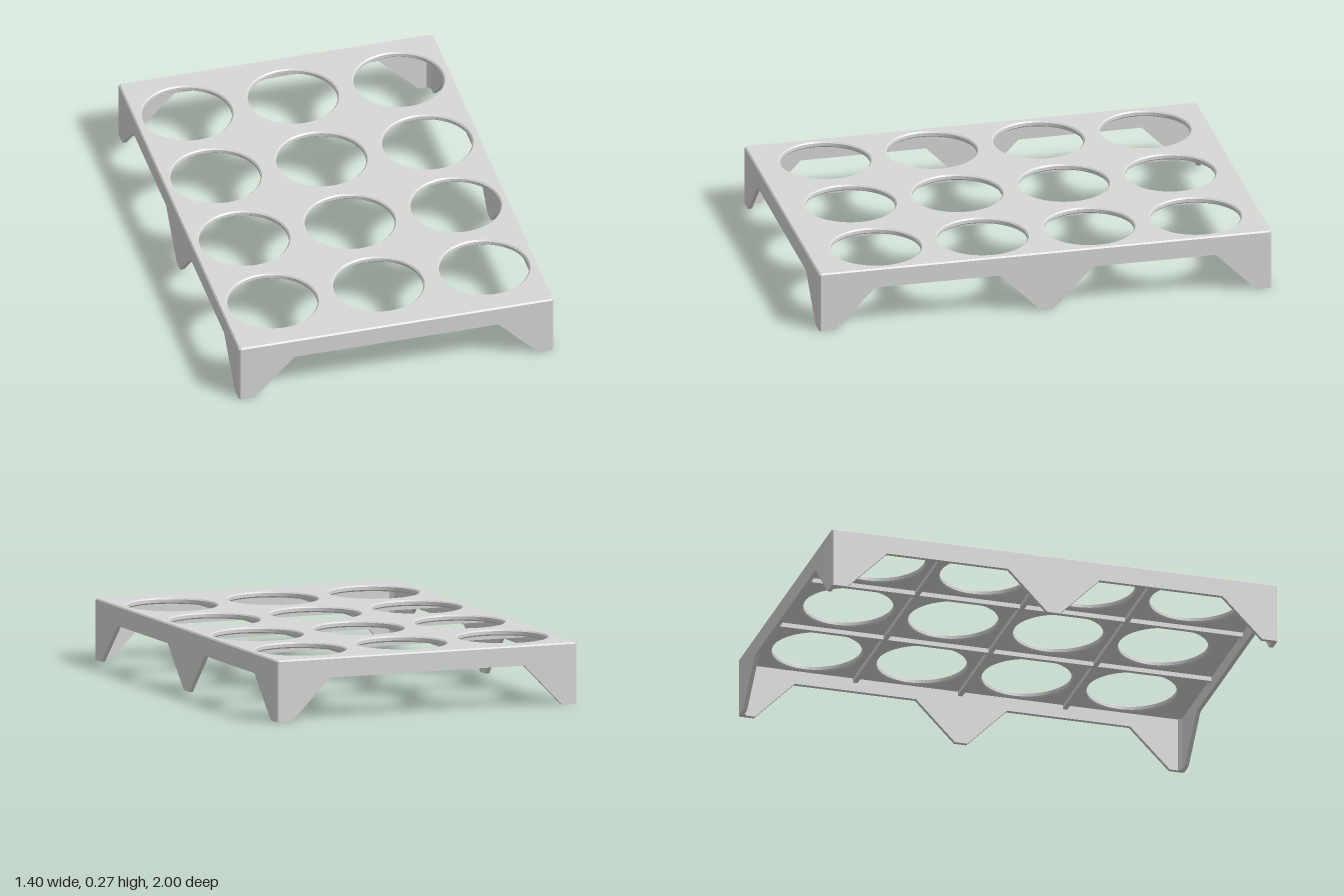
import * as THREE from 'three';
import { toCreasedNormals } from 'three/addons/utils/BufferGeometryUtils.js';

const W = 0.7, D = 0.999, TOP = 0.267;     // half width, half depth, height
const WALL = 0.018, BEVEL = 0.006, CHAMFER = 0.007;
const PLATE = 0.026, RAIL = 0.18;          // plate thickness, underside of the rails
const RIB = 0.02, RIB_DROP = 0.02;         // rib width, rib depth below the plate
const PITCH = 0.4705, HOLE = 0.2, ROW_SHIFT = -0.01;

const polygon = (points) => new THREE.Shape(points.map(([x, y]) => new THREE.Vector2(x, y)));

export function createModel() {
  const model = new THREE.Group();
  model.name = 'twelveHoleRack';
  const grey = new THREE.MeshStandardMaterial({ color: 0xd8d8d8 });
  grey.name = 'light grey plastic';

  const add = (name, geometry, x = 0, y = 0, z = 0) => {
    const mesh = new THREE.Mesh(geometry, grey);
    mesh.name = name;
    mesh.position.set(x, y, z);
    model.add(mesh);
  };

  // Perforated top plate with bevelled rim and holes
  const w = W - BEVEL, d = D - BEVEL, c = CHAMFER;
  const plate = polygon([
    [-w + c, -d], [w - c, -d], [w, -d + c], [w, d - c],
    [w - c, d], [-w + c, d], [-w, d - c], [-w, -d + c],
  ]);
  for (let col = -1; col <= 1; col++) {
    for (let row = 0; row < 4; row++) {
      const hole = new THREE.Path();
      hole.absarc(col * PITCH, -(ROW_SHIFT + (row - 1.5) * PITCH), HOLE, 0, Math.PI * 2, true);
      plate.holes.push(hole);
    }
  }
  const plateGeometry = new THREE.ExtrudeGeometry(plate, {
    depth: PLATE - 2 * BEVEL, bevelEnabled: true, bevelSize: BEVEL,
    bevelThickness: BEVEL, bevelSegments: 1, curveSegments: 32,
  });
  plateGeometry.rotateX(-Math.PI / 2);
  add('topPlate', toCreasedNormals(plateGeometry, 0.4), 0, TOP - PLATE + BEVEL, 0);

  // Skirt walls whose lower edge is cut into tapered feet
  const wallTop = TOP - BEVEL;
  const wall = (points) => new THREE.ExtrudeGeometry(polygon(points), { depth: WALL, bevelEnabled: false });
  const ex = W - CHAMFER, ez = D - CHAMFER;
  const endWall = wall([
    [-ex, 0], [-0.63, 0], [-0.453, RAIL], [0.453, RAIL], [0.63, 0], [ex, 0],
    [ex, wallTop], [-ex, wallTop],
  ]);
  const sideWall = wall([
    [-ez, 0], [-0.93, 0], [-0.752, RAIL], [-0.208, RAIL], [-0.033, 0], [0.023, 0],
    [0.2, RAIL], [0.752, RAIL], [0.93, 0], [ez, 0], [ez, wallTop], [-ez, wallTop],
  ]);
  sideWall.rotateY(-Math.PI / 2);
  add('frontWall', endWall, 0, 0, D - WALL);
  add('backWall', endWall, 0, 0, -D);
  add('leftWall', sideWall, W, 0, 0);
  add('rightWall', sideWall, -W + WALL, 0, 0);

  // Chamfered corner posts
  const inner = WALL + 0.015;
  for (const sx of [-1, 1]) {
    for (const sz of [-1, 1]) {
      const post = polygon([
        [W - inner, D - WALL], [W - WALL, D - inner], [W, D - inner],
        [W, D - CHAMFER], [W - CHAMFER, D], [W - inner, D],
      ].map(([x, z]) => [sx * x, -sz * z]));
      const geometry = new THREE.ExtrudeGeometry(post, { depth: wallTop, bevelEnabled: false });
      geometry.rotateX(-Math.PI / 2);
      add('cornerPost', geometry);
    }
  }

  // Shallow stiffening ribs under the plate, between the holes
  const ribHeight = RIB_DROP + 0.005;
  const ribY = TOP - PLATE - RIB_DROP + ribHeight / 2;
  for (const i of [-1, 0, 1]) {
    add('crossRib', new THREE.BoxGeometry(2 * (W - WALL), ribHeight, RIB), 0, ribY, ROW_SHIFT + i * PITCH);
  }
  for (const s of [-1, 1]) {
    add('lengthRib', new THREE.BoxGeometry(RIB, ribHeight, 2 * (D - WALL)), s * PITCH / 2, ribY, 0);
  }
  return model;
}
